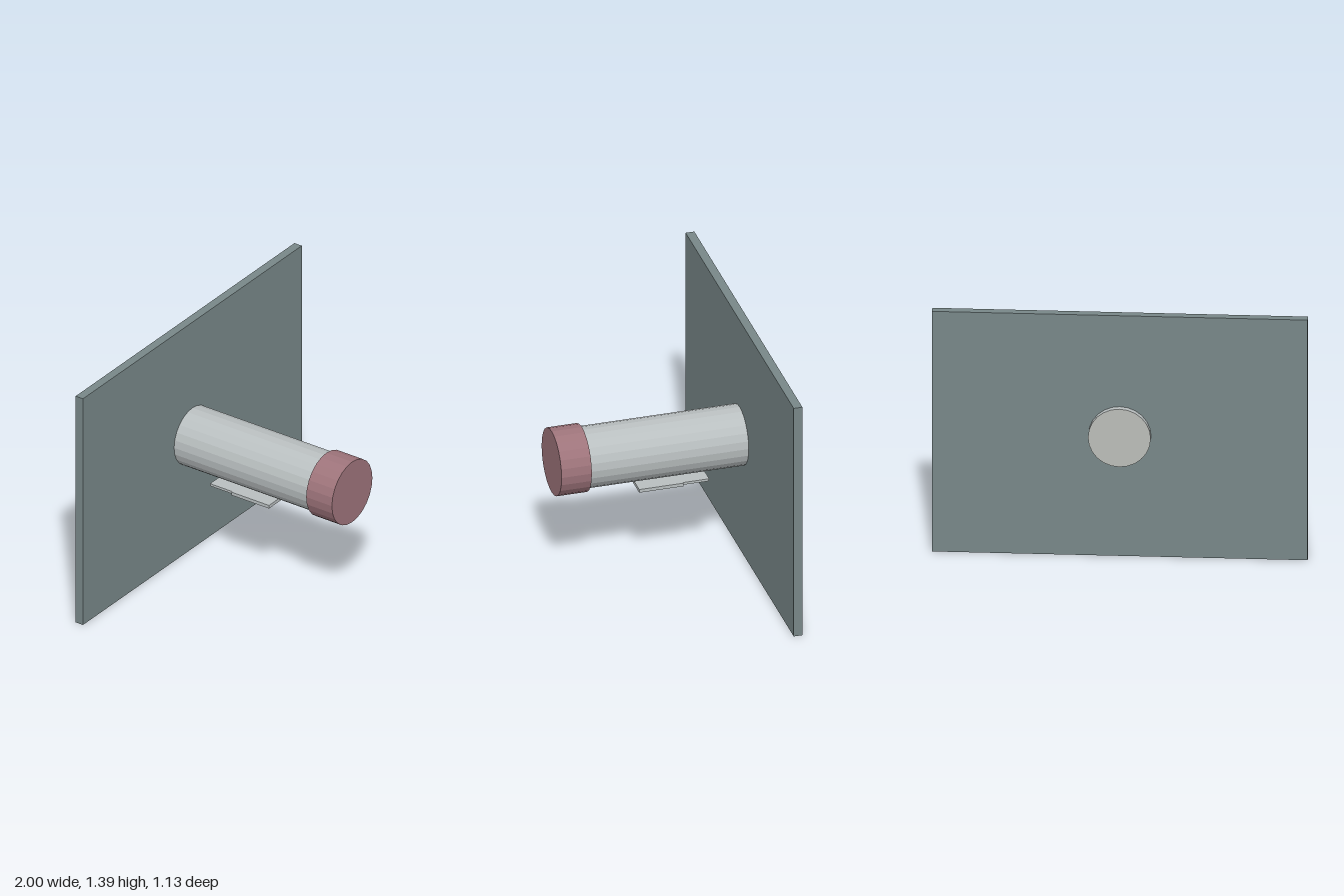
import * as THREE from 'three';

const paint = (name, color) => {
  const m = new THREE.MeshStandardMaterial({ color });
  m.name = name;
  return m;
};

export function createModel() {
  const group = new THREE.Group();
  const slate = paint('slate', 0x788788);
  const silver = paint('silver', 0xb9bfc0);
  const paleGrey = paint('paleGrey', 0xbbbdb8);
  const rose = paint('rose', 0x9e747b);
  const axisY = 0.695;

  const add = (name, geometry, material, x, y, z) => {
    const mesh = new THREE.Mesh(geometry, material);
    mesh.name = name;
    mesh.position.set(x, y, z);
    group.add(mesh);
  };

  // Faceted cylinder along z, with materials for side, front and back
  const barrel = (name, radius, zBack, zFront, materials) => {
    const geometry = new THREE.CylinderGeometry(radius, radius, zFront - zBack, 24)
      .rotateX(Math.PI / 2).toNonIndexed();
    geometry.computeVertexNormals();
    add(name, geometry, materials, 0, axisY, (zBack + zFront) / 2);
  };

  // Box given by its half width and its y and z limits
  const slab = (name, halfWidth, y0, y1, z0, z1, material) =>
    add(name, new THREE.BoxGeometry(2 * halfWidth, y1 - y0, z1 - z0),
      material, 0, (y0 + y1) / 2, (z0 + z1) / 2);

  // Upright panel with the tube running through it
  slab('wallPanel', 1, 0, 1.387, -0.528, -0.48, slate);
  barrel('tube', 0.167, -0.563, 0.41, [silver, silver, paleGrey]);
  barrel('endCap', 0.185, 0.395, 0.563, [rose, rose, rose]);

  // Flat fittings below the tube
  slab('frontPlate', 0.137, 0.509, 0.528, -0.127, 0.118, silver);
  slab('rearPlate', 0.13, 0.514, 0.528, -0.272, -0.127, silver);
  slab('crossBar', 0.063, 0.501, 0.514, -0.21, -0.184, slate);

  return group;
}
